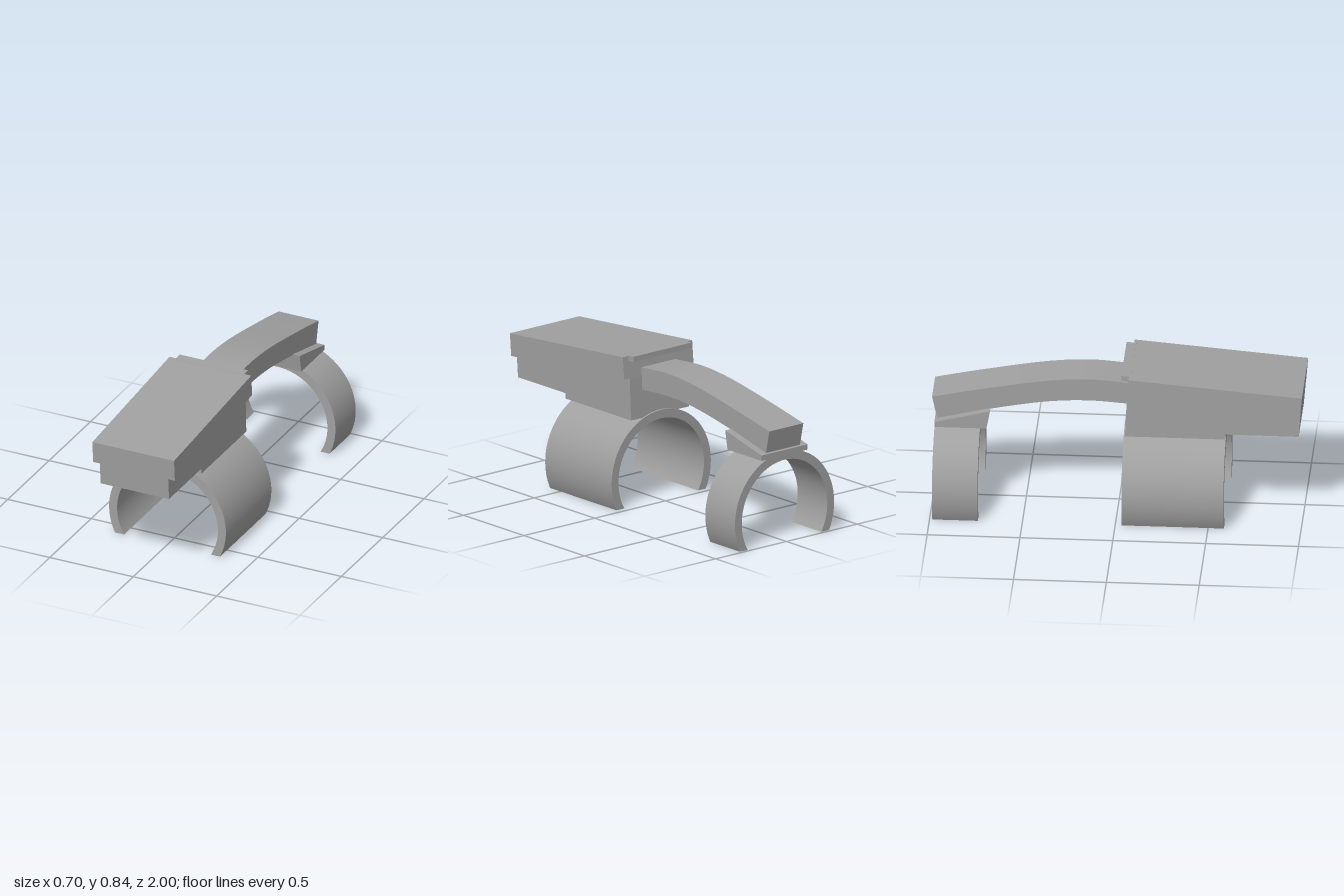
import * as THREE from 'three';
import { toCreasedNormals } from 'three/addons/utils/BufferGeometryUtils.js';

export function createModel() {
  const model = new THREE.Group();
  const grey = new THREE.MeshStandardMaterial({ color: 0xa0a0a0 });
  grey.name = 'grey';

  const add = (name, geometry) => {
    const mesh = new THREE.Mesh(toCreasedNormals(geometry, 0.5), grey);
    mesh.name = name;
    model.add(mesh);
  };

  // Side profile of [z, y] points, extruded across the width
  const addProfile = (name, points, halfWidth) => {
    const shape = new THREE.Shape(points.map(([z, y]) => new THREE.Vector2(-z, y)));
    const geometry = new THREE.ExtrudeGeometry(shape, { depth: 2 * halfWidth, bevelEnabled: false });
    geometry.translate(0, 0, -halfWidth).rotateY(Math.PI / 2);
    add(name, geometry);
  };

  // Open clip ring, cut off flat at y = 0
  const addClip = (name, zBack, zFront) => {
    const cy = 0.153, outer = 0.35, inner = 0.302;
    const a = Math.asin(cy / outer), b = Math.asin(cy / inner);
    const shape = new THREE.Shape();
    shape.absarc(0, cy, outer, -a, Math.PI + a, false);
    shape.absarc(0, cy, inner, Math.PI + b, -b, true);
    const geometry = new THREE.ExtrudeGeometry(shape, {
      depth: zFront - zBack, bevelEnabled: false, curveSegments: 64,
    });
    geometry.translate(0, 0, zBack);
    add(name, geometry);
  };

  addClip('frontClip', 0.035, 0.585);
  addClip('rearClip', -0.985, -0.74);

  // Main body: stepped lower block, wider sloping cap and small rear lip
  addProfile('lowerBody', [
    [0.98, 0.51], [0.99, 0.635], [0.055, 0.715], [0.045, 0.48], [0.585, 0.48], [0.585, 0.51],
  ], 0.205);
  addProfile('upperBody', [
    [0.99, 0.635], [1, 0.76], [0.066, 0.838], [0.055, 0.715],
  ], 0.245);
  addProfile('rearLip', [
    [0.08, 0.838], [0.025, 0.842], [0.025, 0.812], [0.08, 0.812],
  ], 0.205);

  // Curved arm from the body back to the rear clip
  const edge = (points) => new THREE.CatmullRomCurve3(
    points.map(([z, y]) => new THREE.Vector3(0, y, z)),
  ).getPoints(28).map((p) => [p.z, p.y]);
  const top = edge([[0.07, 0.758], [-0.155, 0.773], [-0.374, 0.758], [-0.75, 0.692], [-1, 0.64]]);
  const bottom = edge([[0.07, 0.634], [-0.155, 0.647], [-0.374, 0.634], [-0.69, 0.578], [-0.972, 0.513]]);
  addProfile('arm', [...top, ...bottom.reverse()], 0.12);

  // Wedge mount under the end of the arm
  addProfile('rearMount', [
    [-0.685, 0.583], [-0.704, 0.48], [-0.985, 0.48], [-0.985, 0.51],
  ], 0.163);

  return model;
}
